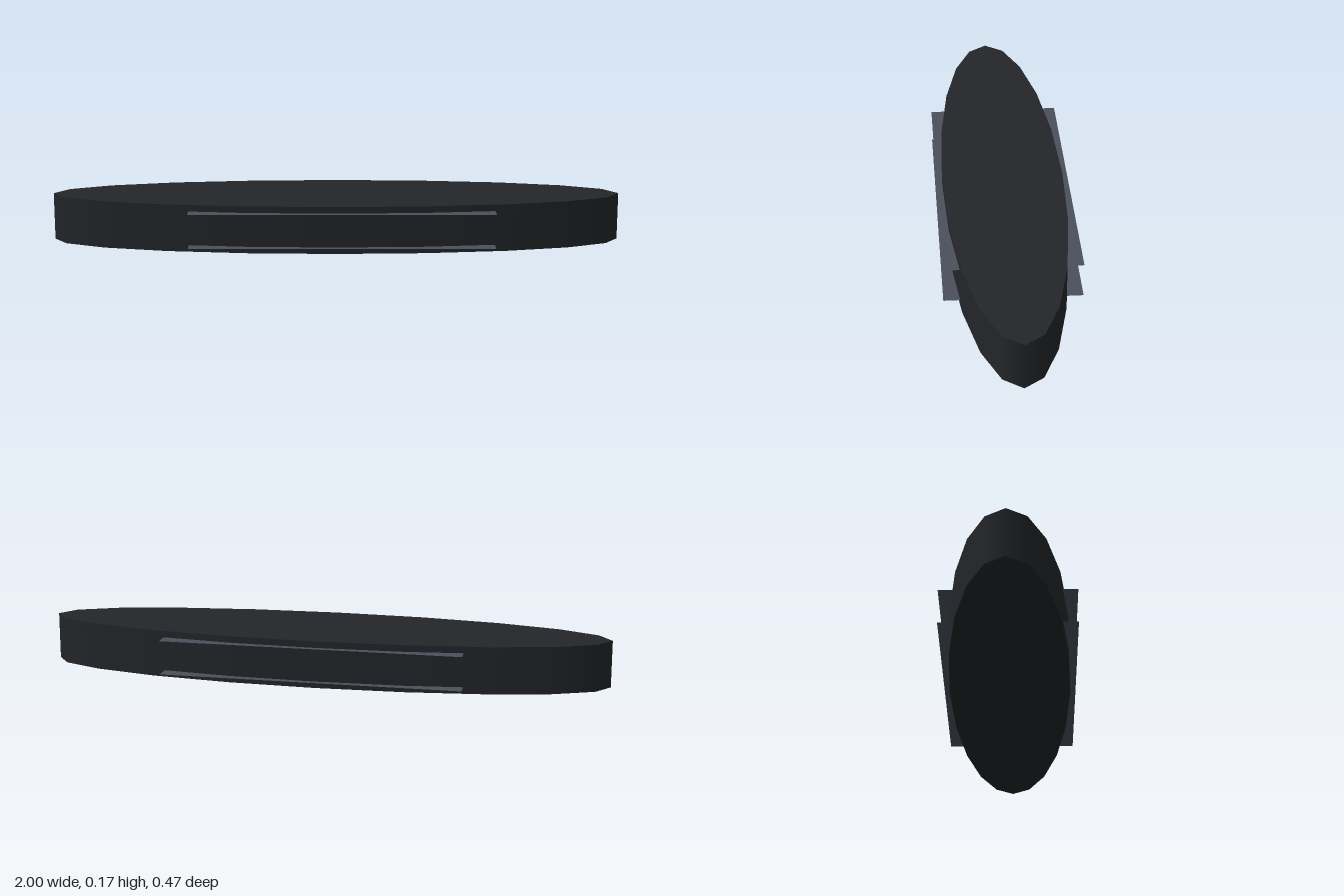
import * as THREE from 'three';

const HEIGHT = 0.166;
const HALF_DEPTH = 0.213;

export function createModel() {
  const model = new THREE.Group();
  model.name = 'ovalDisc';

  // Oval body: a 20-sided cylinder squashed along z
  const bodyGeometry = new THREE.CylinderGeometry(1, 1, HEIGHT, 20);
  bodyGeometry.scale(1, 1, HALF_DEPTH);
  const body = new THREE.Mesh(
    bodyGeometry,
    new THREE.MeshStandardMaterial({ color: 0x232529 })
  );
  body.name = 'ovalBody';
  body.position.y = HEIGHT / 2;
  model.add(body);

  // Two paper-thin sheets through the body, showing along its long sides
  const sheetGeometry = new THREE.PlaneGeometry(1.06, 0.465).rotateX(-Math.PI / 2);
  const sheetMaterial = new THREE.MeshStandardMaterial({
    color: 0x4b505b,
    side: THREE.DoubleSide,
  });
  for (const [name, offset] of [['lowerSheet', -0.06], ['upperSheet', 0.06]]) {
    const sheet = new THREE.Mesh(sheetGeometry, sheetMaterial);
    sheet.name = name;
    sheet.position.set(0.02, HEIGHT / 2 + offset, 0);
    model.add(sheet);
  }

  return model;
}
